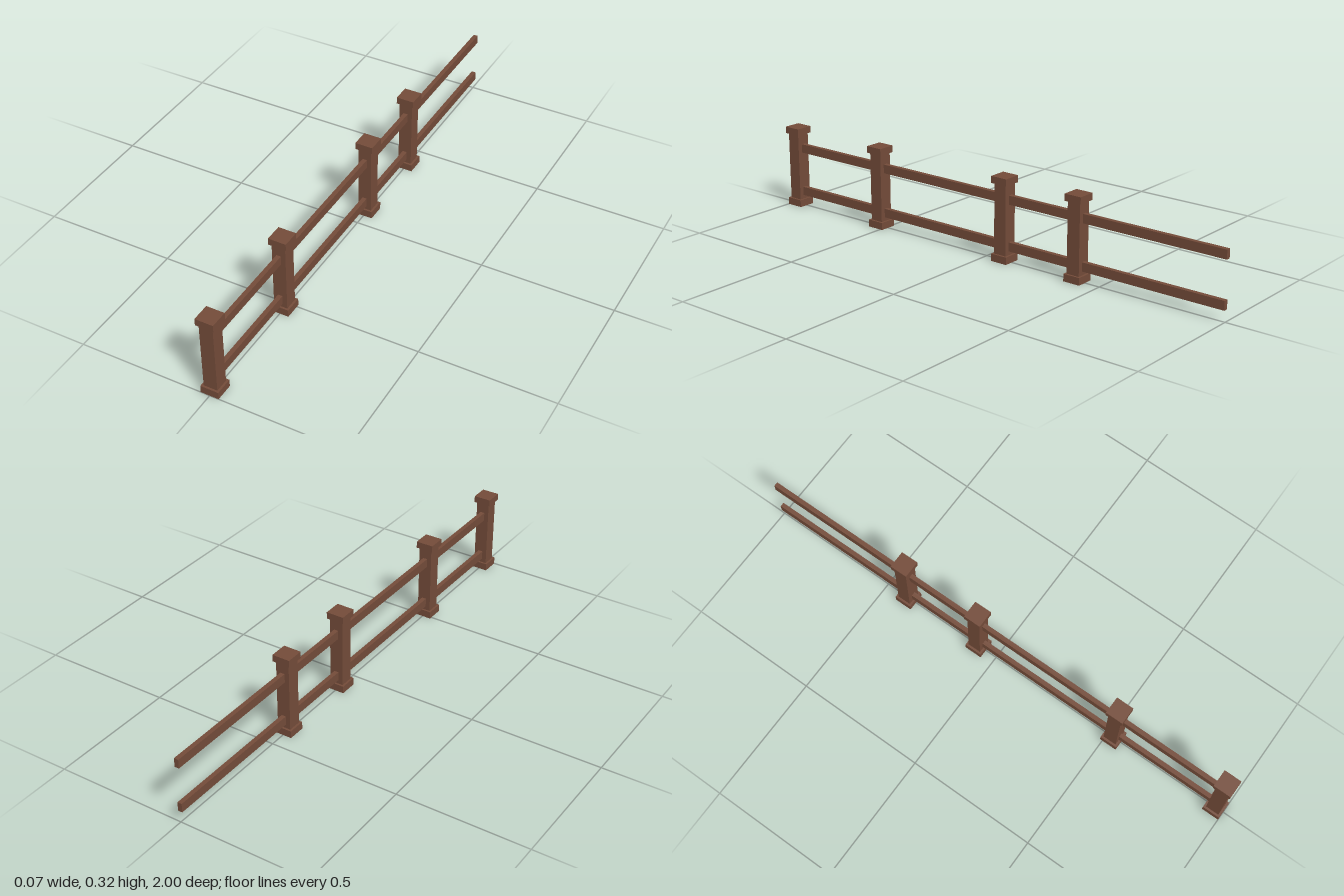
import * as THREE from 'three';

const wood = new THREE.MeshStandardMaterial({ color: 0x734b39 });

// Box spanning y0..y1, centred on x = 0 and on z
function box(name, w, y0, y1, d, z = 0) {
  const mesh = new THREE.Mesh(new THREE.BoxGeometry(w, y1 - y0, d), wood);
  mesh.name = name;
  mesh.position.set(0, (y0 + y1) / 2, z);
  return mesh;
}

// Square post with a wider foot and cap
function createPost(z) {
  const post = new THREE.Group();
  post.name = 'post';
  post.add(
    box('postFoot', 0.068, 0, 0.028, 0.068),
    box('postShaft', 0.052, 0.028, 0.294, 0.052),
    box('postCap', 0.068, 0.294, 0.32, 0.068)
  );
  post.position.z = z;
  return post;
}

export function createModel() {
  const fence = new THREE.Group();
  fence.name = 'fence';

  // Unevenly spaced posts
  const posts = [0.966, 0.524, -0.081, -0.405];
  for (const z of posts) fence.add(createPost(z));

  // Rails run from the front post through the others to the open back end
  const front = posts[0], back = -1;
  const length = front - back, middle = (front + back) / 2;
  fence.add(
    box('lowerRail', 0.017, 0.043, 0.077, length, middle),
    box('upperRail', 0.017, 0.219, 0.253, length, middle)
  );
  return fence;
}
